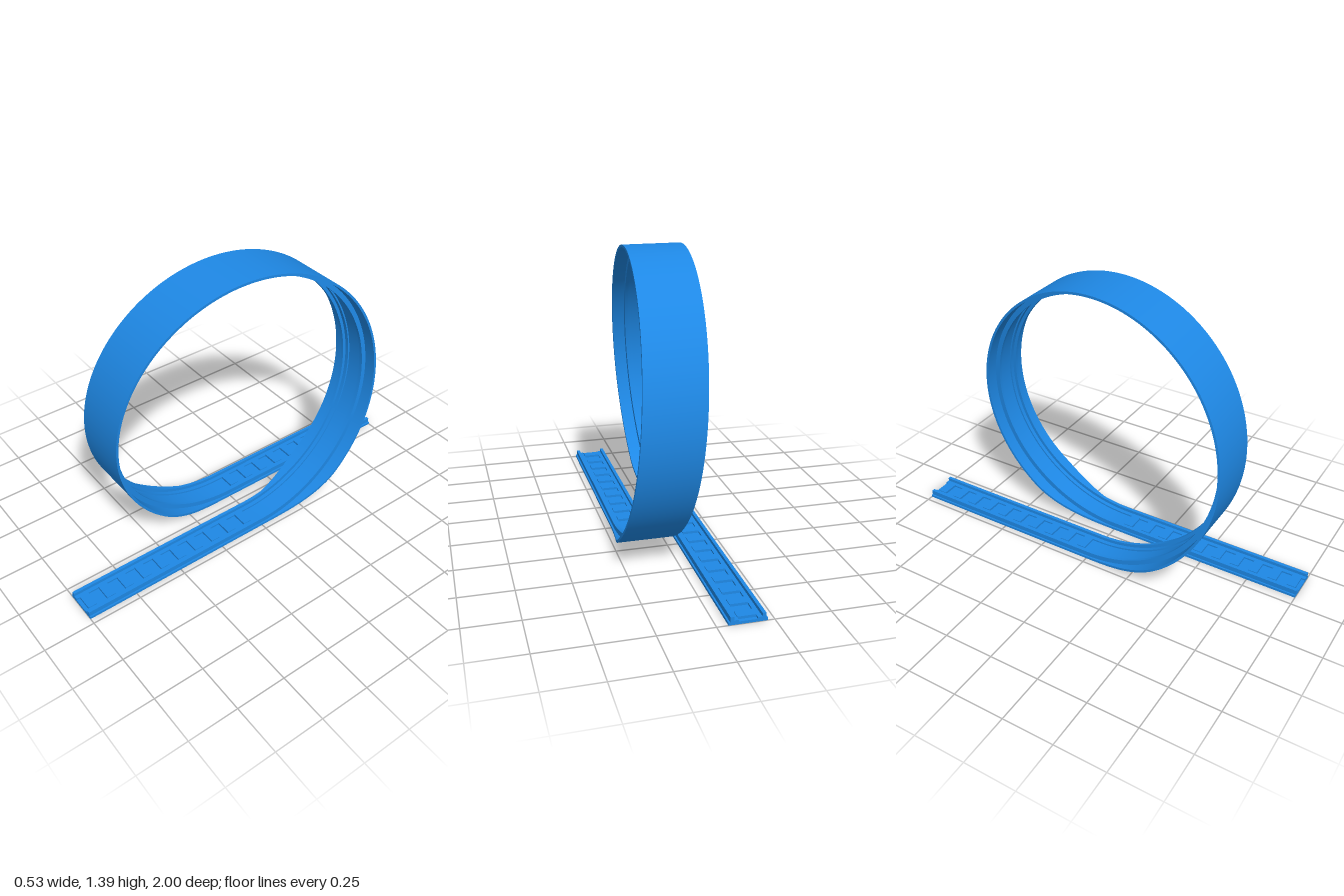
import * as THREE from 'three';

const R = 0.695;        // loop outer radius
const OFFSET = 0.135;   // sideways offset of each straight
const HALF = 0.085;     // half width of the straight base
const WIDE = 0.14;      // half width of the loop base

const trackBlue = new THREE.MeshStandardMaterial({ color: 0x1e88e5 });
trackBlue.name = 'trackBlue';

// Counter-clockwise cross-section: base plate, two rails, two inner ledges
function section(w) {
  const right = [[w, 0], [w, 0.012], [0.077, 0.012], [0.077, 0.036], [0.061, 0.036], [0.061, 0.02], [0.041, 0.02], [0.041, 0.012]];
  const left = right.map(([s, h]) => [-s, h]).reverse();
  return [...right, ...left];
}

// Sweep the section through stations; each face strip is smooth lengthwise and sharp across
function sweep(rings) {
  const n = rings[0].length, pos = [], index = [];
  for (let k = 0; k < n; k++) {
    const base = pos.length / 3;
    rings.forEach((ring, i) => {
      pos.push(...ring[k], ...ring[(k + 1) % n]);
      if (i === 0) return;
      const a = base + (i - 1) * 2, b = a + 1, c = a + 2, d = a + 3;
      index.push(a, c, b, b, c, d);
    });
  }
  const g = new THREE.BufferGeometry();
  g.setAttribute('position', new THREE.Float32BufferAttribute(pos, 3));
  g.setIndex(index);
  g.computeVertexNormals();
  return g;
}

// Loop station at angle t (0 and 2*PI are the bottom)
function loopRing(t) {
  const fromEnd = Math.min(t, 2 * Math.PI - t);
  const w = HALF + (WIDE - HALF) * THREE.MathUtils.smoothstep(fromEnd, 0, 0.7);
  const x = OFFSET * Math.cos(t / 2);
  return section(w).map(([s, h]) => [x + s, R - (R - h) * Math.cos(t), -(R - h) * Math.sin(t)]);
}

function makeStraight(name) {
  const group = new THREE.Group();
  group.name = name;
  const add = (geometry, part) => {
    const mesh = new THREE.Mesh(geometry, trackBlue);
    mesh.name = part;
    group.add(mesh);
    return mesh;
  };
  const ring = z => section(HALF).map(([s, h]) => [s, h, z]);
  add(sweep([ring(1), ring(0)]), 'railBed');

  // End faces
  const shape = new THREE.Shape(section(HALF).map(p => new THREE.Vector2(...p)));
  add(new THREE.ShapeGeometry(shape), 'outerEnd').position.z = 1;
  add(new THREE.ShapeGeometry(shape).rotateY(Math.PI), 'innerEnd');

  // Cross ties between the rails
  const tie = new THREE.BoxGeometry(0.082, 0.014, 0.045);
  for (let i = 0; i < 10; i++) add(tie, 'crossTie').position.set(0, 0.017, 0.06 + i * 0.1);
  return group;
}

export function createModel() {
  const model = new THREE.Group();
  model.name = 'loopTrack';

  const front = makeStraight('frontStraight');
  front.position.x = OFFSET;
  const back = makeStraight('backStraight');
  back.position.x = -OFFSET;
  back.rotation.y = Math.PI;

  const rings = [];
  const steps = 160;
  for (let i = 0; i <= steps; i++) rings.push(loopRing((i / steps) * Math.PI * 2));
  const loop = new THREE.Mesh(sweep(rings), trackBlue);
  loop.name = 'verticalLoop';

  model.add(front, back, loop);
  return model;
}
